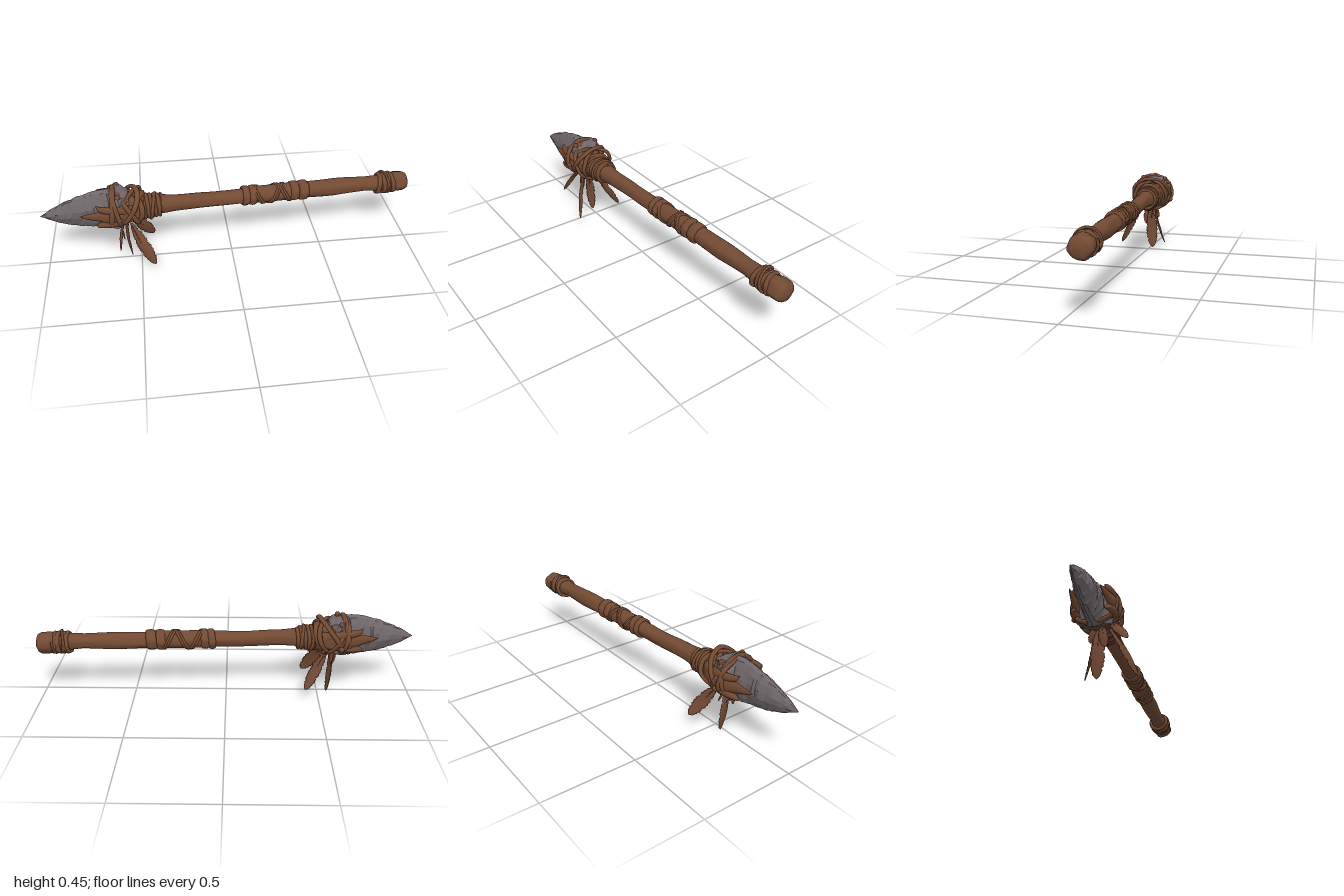
import * as THREE from 'three';

const wood = new THREE.MeshStandardMaterial({ color: 0x734a33 });
wood.name = 'brown wood and leather';
const stone = new THREE.MeshStandardMaterial({ color: 0x70676a });
stone.name = 'grey stone';

const { sin, cos, PI, abs, pow } = Math;
const V = (x, y, z) => new THREE.Vector3(x, y, z);
const hash = (i, j) => { const s = sin(i * 127.1 + j * 311.7) * 43758.5; return s - Math.floor(s) - 0.5; };

// Linear lookup in rows of [position, value, value...]
function lookup(knots, x) {
  let k = 0;
  while (k < knots.length - 2 && x > knots[k + 1][0]) k++;
  const a = knots[k], b = knots[k + 1];
  const t = THREE.MathUtils.clamp((x - a[0]) / (b[0] - a[0]), 0, 1);
  return a.slice(1).map((v, i) => v + (b[i + 1] - v) * t);
}

// Skin of rows x cols cross-section points, closed around each section
function skin(rows, cols, point, { loop = false, flat = false } = {}) {
  const pos = [], idx = [];
  const n = loop ? rows : rows + 1;
  for (let i = 0; i < n; i++)
    for (let j = 0; j < cols; j++) pos.push(...point(i / rows, (j / cols) * 2 * PI, i, j).toArray());
  for (let i = 0; i < rows; i++)
    for (let j = 0; j < cols; j++) {
      const i2 = (i + 1) % n, j2 = (j + 1) % cols;
      const a = i * cols + j, b = i * cols + j2, c = i2 * cols + j, d = i2 * cols + j2;
      idx.push(a, b, c, b, d, c);
    }
  let g = new THREE.BufferGeometry();
  g.setAttribute('position', new THREE.Float32BufferAttribute(pos, 3));
  g.setIndex(idx);
  if (flat) g = g.toNonIndexed();
  g.computeVertexNormals();
  return g;
}

function add(parent, name, geometry, material = wood) {
  const m = new THREE.Mesh(geometry, material);
  m.name = name;
  parent.add(m);
  return m;
}

// Flat strap tied around the shaft, leaning along x
function strap(x, y, ry, rz, w, t, leanY = 0, leanZ = 0) {
  return skin(40, 8, (u, v) => {
    const a = u * 2 * PI, k = t * sin(v) + 0.0015 * sin(a * 7 + x * 90);
    return V(x + leanY * cos(a) + leanZ * sin(a) + w * cos(v), y + (ry + k) * cos(a), (rz + k) * sin(a));
  }, { loop: true });
}

// Cord wound along the shaft
function coil(x0, x1, turns, r0, r1, thick, phase = 0) {
  const pts = [], n = Math.ceil(abs(turns) * 12);
  for (let i = 0; i <= n; i++) {
    const t = i / n, a = phase + t * turns * 2 * PI, r = r0 + (r1 - r0) * t;
    pts.push(V(x0 + (x1 - x0) * t, 0.325 + r * cos(a), r * sin(a)));
  }
  return new THREE.TubeGeometry(new THREE.CatmullRomCurve3(pts), n * 2, thick, 7);
}

// Round body along x from [x, centre y, half height, half depth] rows
function body(knots, rows, cols, grain) {
  const x0 = knots[0][0], x1 = knots[knots.length - 1][0];
  return skin(rows, cols, (u, a) => {
    const x = x0 + (x1 - x0) * u, [y, h, d] = lookup(knots, x);
    const k = 1 + grain * (sin(4 * a + 7 * x) + 0.7 * sin(7 * a - 11 * x) + 0.6 * sin(a + 23 * x));
    return V(x, y + h * k * cos(a), d * k * sin(a));
  });
}

// Splinter of wood tapering from a root to a point
function splinter(path, h, d) {
  const curve = new THREE.CatmullRomCurve3(path);
  return skin(10, 8, (u, a) => {
    const p = curve.getPoint(u), k = pow(u, 0.75) * (1 - 0.3 * u);
    return V(p.x, p.y + h * k * cos(a), p.z + d * k * sin(a));
  });
}

// Feather with notched edges, thin vane and raised quill
function feather(parent, base, tip, across, half) {
  const g = new THREE.Group();
  g.name = 'feather';
  parent.add(g);
  const along = tip.clone().sub(base), D = along.clone().normalize();
  const W = across.clone().addScaledVector(D, -across.dot(D)).normalize();
  const N = D.clone().cross(W), bow = along.length() * 0.05;
  const spine = u => base.clone().addScaledVector(along, u).addScaledVector(N, bow * sin(u * PI));
  add(g, 'vane', skin(36, 12, (u, v, i) => {
    const side = cos(v) > 0 ? 0 : 5;
    const notch = (i + side) % 11 === 7 ? 0.72 : 1 - 0.06 * (i % 3);
    const w = half * (0.1 + 0.9 * pow(sin(PI * pow(u, 1.25)), 0.6)) * notch * (u >= 1 ? 0 : 1);
    const t = 0.007 * (1 - u * 0.7);
    return spine(u).addScaledVector(W, w * cos(v)).addScaledVector(N, t * sin(v) - 6 * w * w * cos(v) ** 2);
  }));
  add(g, 'quill', skin(16, 6, (u, v) => {
    const r = 0.009 * (1 - u);
    return spine(u * 0.95).addScaledVector(W, r * 0.6 * cos(v)).addScaledVector(N, r * 1.15 * sin(v));
  }));
}

export function createModel() {
  const model = new THREE.Group();
  model.name = 'stone spear';
  const spear = new THREE.Group();
  spear.name = 'spear';
  spear.rotation.y = 0.055;
  spear.position.z = -0.035;
  model.add(spear);

  // Chipped stone blade: x, top, bottom, half thickness, half thickness of the edge
  const blade = [
    [-1, 0.325, 0.323, 0.001, 0.001], [-0.95, 0.358, 0.294, 0.019, 0.002],
    [-0.88, 0.394, 0.264, 0.033, 0.003], [-0.8, 0.424, 0.24, 0.044, 0.004],
    [-0.7, 0.452, 0.224, 0.052, 0.006], [-0.65, 0.452, 0.224, 0.056, 0.016],
    [-0.615, 0.443, 0.236, 0.092, 0.07], [-0.57, 0.432, 0.25, 0.085, 0.066], [-0.54, 0.42, 0.27, 0.06, 0.05],
    [-0.539, 0.34, 0.339, 0, 0]];
  add(spear, 'blade', skin(26, 14, (u, a, i, j) => {
    const x = i === 26 ? -0.539 : -1 + 0.46 * i / 25, [top, bottom, t, edge] = lookup(blade, x);
    const c = cos(a), mid = (top + bottom) / 2, h = (top - bottom) / 2;
    const s = Math.sign(Math.round(sin(a) * 1e4)) * (edge + (t - edge) * pow(1 - abs(c), 0.6));
    const chip = i === 0 || i === 26 ? 0 : 1;
    return V(x + chip * 0.008 * hash(i, j + 40), mid + h * c * (1 + chip * 0.07 * hash(i, j)),
      s * (1 + chip * 0.28 * hash(i + 9, j)));
  }, { flat: true }), stone);

  // Shaft with a bulging head and a lumpy butt
  add(spear, 'shaft', body([
    [-0.64, 0.34, 0, 0], [-0.63, 0.34, 0.075, 0.085], [-0.56, 0.335, 0.08, 0.088], [-0.48, 0.33, 0.062, 0.066],
    [-0.38, 0.328, 0.05, 0.05], [-0.3, 0.327, 0.042, 0.042], [-0.1, 0.324, 0.039, 0.039], [0.05, 0.324, 0.041, 0.041],
    [0.45, 0.326, 0.043, 0.045], [0.58, 0.323, 0.046, 0.046], [0.75, 0.326, 0.037, 0.04],
    [0.84, 0.322, 0.044, 0.046], [0.92, 0.32, 0.05, 0.05]], 90, 24, 0.035));
  add(spear, 'butt', body([
    [0.89, 0.32, 0, 0], [0.9, 0.32, 0.05, 0.05], [0.93, 0.32, 0.056, 0.057], [0.97, 0.32, 0.054, 0.057],
    [0.988, 0.32, 0.045, 0.048], [0.997, 0.32, 0.026, 0.028], [1, 0.32, 0, 0]], 24, 24, 0.04));

  // Forked prongs clasping both faces of the blade
  for (const s of [1, -1]) {
    const prong = (tipX, tipY, tipZ, midY, rootY, h) => add(spear, 'prong', splinter([
      V(tipX, tipY, s * tipZ), V(-0.7, (tipY + midY) / 2, s * 0.082), V(-0.62, midY, s * 0.092), V(-0.47, rootY, s * 0.05)], h, 0.034));
    prong(-0.8, 0.345, 0.072, 0.335, 0.33, 0.075);
    prong(-0.715, 0.4, 0.07, 0.375, 0.34, 0.04);
    prong(-0.72, 0.275, 0.07, 0.3, 0.32, 0.04);
  }

  // Head lashing: upright, crossed and slanted straps
  const lashing = [
    [-0.635, 0.343, 0.1, 0.108, 0.014, 0.011, 0.012, 0], [-0.615, 0.341, 0.098, 0.116, 0.012, 0.01, -0.02, 0.01],
    [-0.56, 0.342, 0.092, 0.108, 0.015, 0.01, 0.06, 0.02], [-0.56, 0.338, 0.092, 0.106, 0.014, 0.01, -0.05, 0.03],
    [-0.55, 0.338, 0.088, 0.1, 0.013, 0.01, 0.03, -0.06], [-0.53, 0.334, 0.08, 0.088, 0.014, 0.01, 0.01, 0.05],
    [-0.5, 0.33, 0.07, 0.074, 0.015, 0.01, 0.02, -0.02]];
  for (const l of lashing) add(spear, 'headLashing', strap(...l));
  for (const [y, z] of [[0.43, 0.06], [0.425, -0.075], [0.325, 0.112], [0.3, -0.11], [0.255, 0.05]]) {
    const knot = add(spear, 'knot', new THREE.SphereGeometry(0.015, 10, 8));
    knot.position.set(-0.6, y, z);
  }
  add(spear, 'looseEnd', splinter([V(-0.492, 0.442, 0.01), V(-0.52, 0.41, 0.02), V(-0.56, 0.37, 0.05)], 0.03, 0.02));

  // Collar wound behind the head
  add(spear, 'collarSleeve', strap(-0.44, 0.328, 0.048, 0.05, 0.065, 0.012));
  add(spear, 'collarCord', coil(-0.49, -0.375, 6, 0.064, 0.054, 0.0105));
  add(spear, 'collarCord', coil(-0.48, -0.39, -1.5, 0.072, 0.062, 0.009, 1));

  // Leather grip with end bands and crossed thongs
  add(spear, 'gripSleeve', body([
    [0.06, 0.326, 0.03, 0.03], [0.065, 0.326, 0.046, 0.046], [0.415, 0.326, 0.047, 0.047], [0.42, 0.326, 0.03, 0.03]], 30, 24, 0.02));
  for (const [x, w] of [[0.078, 0.02], [0.115, 0.022], [0.345, 0.025], [0.395, 0.028]])
    add(spear, 'gripBand', strap(x, 0.326, 0.045, 0.046, w, 0.009, 0.003, 0.003));
  for (const s of [1, -1]) for (const p of [0, 0.5])
    add(spear, 'gripThong', coil(0.12, 0.34, s * 1.5, 0.047, 0.047, 0.008, p));

  // Binding near the butt
  for (const [x, lean] of [[0.83, 0.006], [0.853, -0.004], [0.878, 0.005], [0.902, -0.006]])
    add(spear, 'buttBinding', strap(x, 0.32, 0.05, 0.052, 0.013, 0.01, lean, -lean));
  add(spear, 'buttThong', coil(0.82, 0.91, 1.5, 0.058, 0.06, 0.007, 2));

  // Hanging feathers: base, tip, direction of width, half width
  feather(model, V(-0.56, 0.27, 0), V(-0.55, 0, -0.015), V(0.25, 0, 1), 0.036);
  feather(model, V(-0.54, 0.26, 0.045), V(-0.425, 0.052, 0.148), V(0.9, 0.45, 0.2), 0.038);
  feather(model, V(-0.54, 0.26, -0.035), V(-0.425, 0.063, -0.12), V(0.9, 0.45, -0.2), 0.036);
  feather(model, V(-0.575, 0.28, 0.05), V(-0.6, 0.165, 0.152), V(0.3, 0.6, 0.5), 0.025);
  feather(model, V(-0.59, 0.27, 0.02), V(-0.58, 0.145, 0.035), V(0.3, 0, 1), 0.024);
  feather(model, V(-0.57, 0.28, -0.01), V(-0.56, 0.185, -0.045), V(0.4, 0, 1), 0.022);
  return model;
}
